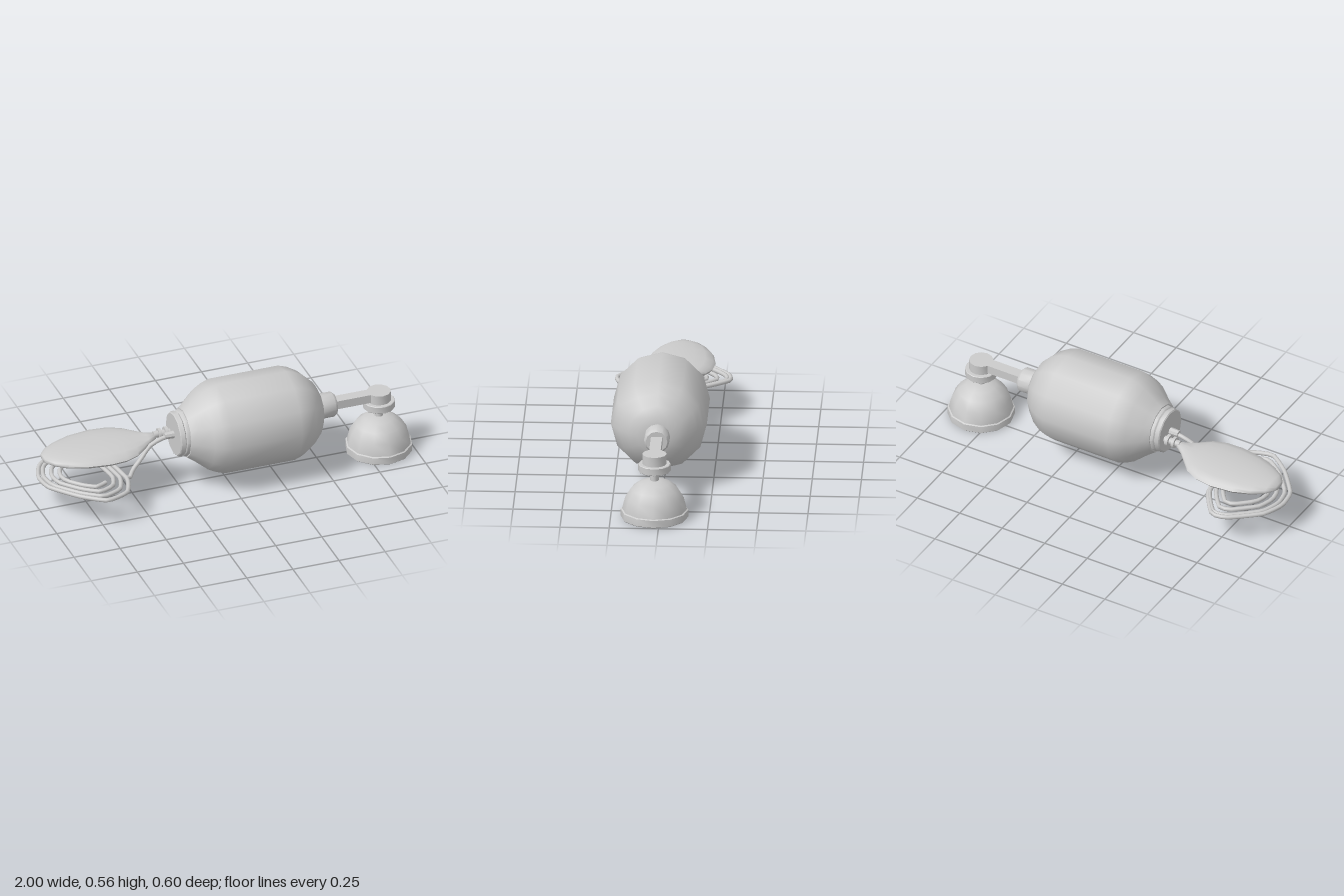
import * as THREE from 'three';
import { toCreasedNormals } from 'three/addons/utils/BufferGeometryUtils.js';

const AXIS_Y = 0.315, AXIS_Z = 0.027;
const material = new THREE.MeshStandardMaterial({ color: 0xcccccc });
const openMaterial = new THREE.MeshStandardMaterial({ color: 0xcccccc, side: THREE.DoubleSide });

export function createModel() {
  const group = new THREE.Group();

  function add(name, geometry, mat = material) {
    const mesh = new THREE.Mesh(geometry, mat);
    mesh.name = name;
    group.add(mesh);
    return mesh;
  }

  // Revolved part; each profile point is [distance along the axis, radius]
  function turn(name, profile, { alongX = false, x = 0, y = 0, z = AXIS_Z, sides = 12, mat } = {}) {
    const points = profile.map(([h, r]) => new THREE.Vector2(r, h));
    let g = new THREE.LatheGeometry(points, sides);
    if (alongX) g.rotateZ(-Math.PI / 2);
    g = toCreasedNormals(g, 0.7);
    g.translate(x, y, z);
    return add(name, g, mat);
  }

  // Squeeze bag with its end collar
  turn('squeezeBag', [
    [-0.235, 0], [-0.235, 0.13], [-0.2, 0.155], [-0.135, 0.21], [-0.095, 0.23], [-0.05, 0.244],
    [0.325, 0.244], [0.37, 0.23], [0.42, 0.2], [0.47, 0.15], [0.495, 0.105], [0.505, 0.06], [0.505, 0]
  ], { alongX: true, y: AXIS_Y });
  turn('inletCollar', [
    [-0.285, 0], [-0.285, 0.111], [-0.28, 0.117], [-0.26, 0.119], [-0.255, 0.114],
    [-0.25, 0.12], [-0.233, 0.124], [-0.225, 0.12], [-0.225, 0]
  ], { alongX: true, y: AXIS_Y });

  // Outlet neck and arm
  turn('outletNeck', [
    [0.495, 0], [0.495, 0.065], [0.575, 0.065], [0.587, 0.055], [0.587, 0]
  ], { alongX: true, y: AXIS_Y });
  const arm = add('valveArm', new THREE.BoxGeometry(0.25, 0.046, 0.058));
  arm.position.set(0.695, 0.319, AXIS_Z);

  // Valve housing and stem above the mask
  const maskX = 0.828;
  turn('valveCap', [[0.285, 0], [0.285, 0.062], [0.342, 0.062], [0.342, 0]], { x: maskX });
  turn('valveDisc', [
    [0.25, 0], [0.25, 0.08], [0.253, 0.083], [0.287, 0.083], [0.29, 0.08], [0.29, 0]
  ], { x: maskX });
  turn('valveStem', [[0.19, 0], [0.19, 0.022], [0.255, 0.022], [0.255, 0]], { x: maskX });

  // Hollow dome mask with a thick rim
  turn('faceMask', [
    [0.185, 0], [0.182, 0.04], [0.155, 0.105], [0.1, 0.138], [0.045, 0.153], [0, 0.153],
    [0, 0.168], [0.004, 0.172], [0.041, 0.172], [0.045, 0.165],
    [0.108, 0.149], [0.155, 0.12], [0.187, 0.078], [0.2, 0.035], [0.2, 0]
  ], { x: maskX, mat: openMaterial });

  // Flat reservoir bag: elliptical stations [x, z centre, half width, y centre, half height]
  const stations = [
    [-0.97, -0.045, 0.001, 0.272, 0.001], [-0.965, -0.045, 0.04, 0.272, 0.014],
    [-0.93, -0.045, 0.085, 0.271, 0.024], [-0.87, -0.045, 0.125, 0.27, 0.033],
    [-0.78, -0.045, 0.16, 0.271, 0.039], [-0.66, -0.043, 0.177, 0.273, 0.041],
    [-0.57, -0.04, 0.168, 0.275, 0.039], [-0.5, -0.036, 0.138, 0.278, 0.033],
    [-0.45, -0.032, 0.09, 0.281, 0.026], [-0.41, -0.029, 0.05, 0.286, 0.02],
    [-0.365, -0.027, 0.02, 0.294, 0.015], [-0.355, -0.027, 0.001, 0.295, 0.001]
  ];
  const sides = 16;
  const bag = new THREE.CylinderGeometry(1, 1, 1, sides, stations.length - 1, true);
  const p = bag.attributes.position;
  for (let i = 0; i < p.count; i++) {
    const row = stations.length - 1 - Math.floor(i / (sides + 1));
    const [x, zc, hw, yc, hh] = stations[row];
    p.setXYZ(i, x, yc - hh * p.getX(i), zc + hw * p.getZ(i));
  }
  add('reservoirBag', toCreasedNormals(bag, 1.2));

  // Reservoir fitting
  turn('reservoirFitting', [
    [-0.375, 0], [-0.375, 0.018], [-0.35, 0.018], [-0.35, 0.03], [-0.335, 0.03], [-0.335, 0.018],
    [-0.315, 0.018], [-0.315, 0.032], [-0.298, 0.032], [-0.298, 0.018], [-0.275, 0.018], [-0.275, 0]
  ], { alongX: true, y: 0.3, z: -0.027, sides: 10 });
  turn('tubeFitting', [
    [-0.335, 0], [-0.335, 0.018], [-0.275, 0.021], [-0.275, 0]
  ], { alongX: true, y: 0.315, z: 0.028, sides: 8 });

  // Oxygen tube: drops from the collar, then coils inward beneath the reservoir
  const path = [
    [-0.28, 0.315, 0.028], [-0.36, 0.302, 0.03], [-0.42, 0.275, 0.035],
    [-0.47, 0.22, 0.05], [-0.52, 0.18, 0.07]
  ].map(q => new THREE.Vector3(...q));
  const outline = [
    [0.18, 0.12], [0.14, -0.14], [0.035, -0.288], [-0.05, -0.28], [-0.195, -0.16],
    [-0.24, -0.05], [-0.225, 0.06], [-0.11, 0.2], [0.01, 0.287], [0.13, 0.245]
  ];
  const turns = 4;
  for (let i = 0; i < turns * outline.length; i++) {
    const [x, z] = outline[i % outline.length];
    const scale = 1 - 0.175 * Math.max(0, i - 9) / outline.length;
    path.push(new THREE.Vector3(-0.747 + x * scale, 0.163, z * scale));
  }
  const curve = new THREE.CatmullRomCurve3(path, false, 'catmullrom', 0.25);
  add('oxygenTube', new THREE.TubeGeometry(curve, 150, 0.0115, 8), openMaterial);

  return group;
}
